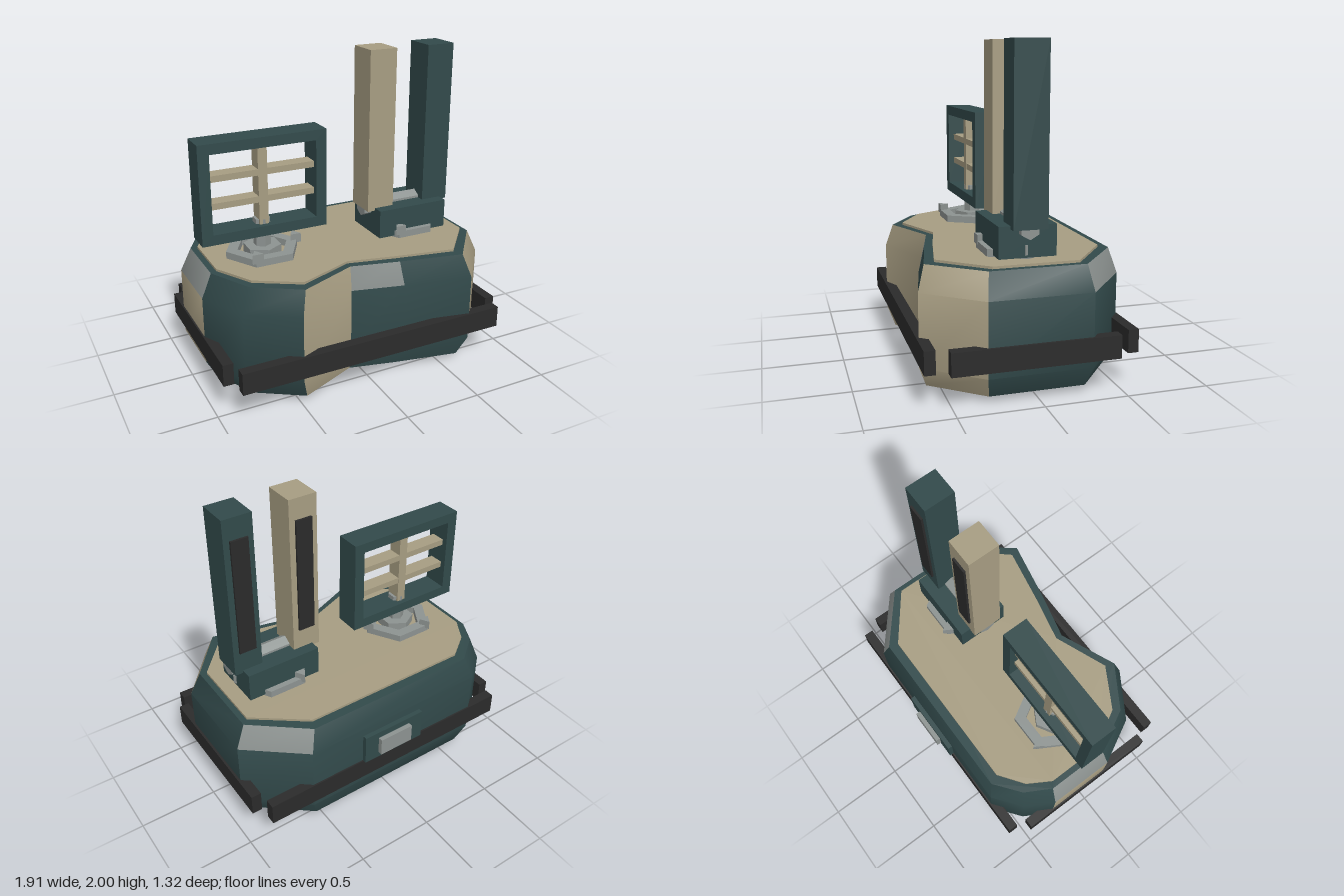
import * as THREE from 'three';
import { toCreasedNormals } from 'three/addons/utils/BufferGeometryUtils.js';

const mat = (name, color) => {
  const m = new THREE.MeshStandardMaterial({ color });
  m.name = name;
  return m;
};

export function createModel() {
  const teal = mat('dark teal', 0x324a4b);
  const beige = mat('beige', 0xa79d82);
  const grey = mat('grey metal', 0x8d9391);
  const dark = mat('charcoal', 0x2b2b2b);

  const model = new THREE.Group();
  model.name = 'model';
  const ZC = 0.02; // shared depth centre of the top equipment

  const add = (name, geo, material, parent = model) => {
    const m = new THREE.Mesh(geo, material);
    m.name = name;
    parent.add(m);
    return m;
  };
  // Box given by its extents on each axis
  const box = (name, material, [x0, x1], [y0, y1], [z0, z1]) => {
    const g = new THREE.BoxGeometry(x1 - x0, y1 - y0, z1 - z0);
    g.translate((x0 + x1) / 2, (y0 + y1) / 2, (z0 + z1) / 2);
    return add(name, g, material);
  };

  // Plan outline of the body (x, z), front edge first, turning towards +x
  const outline = [[-0.5, 0.64], [-0.1, 0.47], [0.23, 0.55], [0.67, 0.64], [0.94, 0.31], [0.94, -0.31],
    [0.59, -0.6], [-0.67, -0.6], [-0.85, -0.46], [-0.95, -0.28], [-0.95, 0.16], [-0.8, 0.45]];
  // Vertical profile: height and scale of the outline
  const profile = [[0.04, 0.925], [0.17, 1], [0.61, 1], [0.76, 0.93]];
  const beigeSides = [0, 3, 9];
  const greyTops = [1, 5, 9];

  // Faceted hull with coloured segments
  const hullMats = [teal, beige, grey];
  const pos = [];
  const hull = new THREE.BufferGeometry();
  outline.forEach((a, i) => {
    const b = outline[(i + 1) % outline.length];
    for (let k = 0; k < profile.length - 1; k++) {
      const at = (p, [y, s]) => [p[0] * s, y, p[1] * s];
      const a0 = at(a, profile[k]), b0 = at(b, profile[k]);
      const a1 = at(a, profile[k + 1]), b1 = at(b, profile[k + 1]);
      const m = k === 2 && greyTops.includes(i) ? 2 : beigeSides.includes(i) ? 1 : 0;
      hull.addGroup(pos.length / 3, 6, m);
      pos.push(...a0, ...b0, ...b1, ...a0, ...b1, ...a1);
    }
  });
  hull.setAttribute('position', new THREE.Float32BufferAttribute(pos, 3));
  add('hull', toCreasedNormals(hull, 0.75), hullMats);

  // Flat slabs that follow the outline
  const slab = (name, material, sx, sz, y0, y1) => {
    const shape = new THREE.Shape(outline.map(([x, z]) => new THREE.Vector2(x * sx, -z * sz)));
    const g = new THREE.ExtrudeGeometry(shape, { depth: y1 - y0, bevelEnabled: false });
    g.rotateX(-Math.PI / 2).translate(0, y0, 0);
    add(name, g, material);
  };
  slab('hullCore', teal, 0.924, 0.924, 0.04, 0.75);
  slab('hullTop', teal, 0.93, 0.93, 0.75, 0.76);
  slab('topDeck', beige, 0.89, 0.83, 0.76, 0.775);
  slab('bottomPlate', dark, 0.74, 0.71, 0.022, 0.04);

  // Bumper bars
  const bumperY = [0.21, 0.35];
  box('frontBumper', dark, [-0.89, 0.89], bumperY, [0.59, 0.655]);
  box('backBumper', dark, [-0.89, 0.89], bumperY, [-0.61, -0.545]);
  box('leftBumper', dark, [0.89, 0.955], bumperY, [-0.475, 0.52]);
  box('rightBumper', dark, [-0.96, -0.895], bumperY, [-0.475, 0.52]);

  // Back hatch
  box('backHatch', teal, [-0.225, 0.22], [0.35, 0.555], [-0.63, -0.58]);
  box('backHatchPlate', grey, [-0.12, 0.12], [0.39, 0.51], [-0.66, -0.63]);

  // Hexagonal ring lying flat, corners on the x axis
  const hexPath = (r, P) => new P(Array.from({ length: 6 }, (_, i) =>
    new THREE.Vector2(r * Math.cos(i * Math.PI / 3), r * Math.sin(i * Math.PI / 3))));
  const hexRing = (name, r, inner, x, z, y0, y1) => {
    const s = hexPath(r, THREE.Shape);
    s.holes.push(hexPath(inner, THREE.Path));
    const g = new THREE.ExtrudeGeometry(s, { depth: y1 - y0, bevelEnabled: false });
    g.rotateX(-Math.PI / 2).translate(x, y0, z);
    add(name, g, grey);
  };
  for (const [x, z] of [[-0.465, 0.2], [0, -0.28], [0.465, 0.2]])
    hexRing('foot', 0.175, 0.105, x, z, 0, 0.03);

  // Turntable mounts with three triangular lugs
  for (const x of [-0.5, 0.5]) {
    hexRing('mountRing', 0.24, 0.165, x, ZC, 0.77, 0.82);
    for (let i = 0; i < 3; i++) {
      const a = i * Math.PI * 2 / 3;
      const g = new THREE.CylinderGeometry(0.042, 0.042, 0.06, 3).toNonIndexed();
      g.rotateY(Math.PI);
      g.translate(x + 0.22 * Math.cos(a), 0.83, ZC + 0.22 * Math.sin(a));
      g.computeVertexNormals();
      add('mountLug', g, grey);
    }
  }
  const prism = (name, r, h, x, y) => {
    const g = new THREE.CylinderGeometry(r, r, h, 6).toNonIndexed();
    g.translate(x, y, ZC).computeVertexNormals();
    add(name, g, grey);
  };
  prism('postBase', 0.12, 0.06, -0.5, 0.8);
  prism('post', 0.055, 0.24, -0.5, 0.89);

  // Framed grid panel
  const frameShape = new THREE.Shape([[-0.91, 0.915], [-0.09, 0.915], [-0.09, 1.545], [-0.91, 1.545]]
    .map(p => new THREE.Vector2(...p)));
  frameShape.holes.push(new THREE.Path([[-0.84, 0.98], [-0.16, 0.98], [-0.16, 1.48], [-0.84, 1.48]]
    .map(p => new THREE.Vector2(...p))));
  const frame = new THREE.ExtrudeGeometry(frameShape, { depth: 0.17, bevelEnabled: false });
  frame.translate(0, 0, ZC - 0.085);
  add('panelFrame', frame, teal);
  box('panelUpright', beige, [-0.53, -0.47], [0.98, 1.48], [ZC - 0.05, ZC + 0.05]);
  for (const y of [1.145, 1.318])
    box('panelSlat', beige, [-0.84, -0.16], [y - 0.02, y + 0.02], [ZC - 0.048, ZC + 0.048]);

  // Tower block with a hexagonal pivot
  box('towerBlock', teal, [0.25, 0.745], [0.785, 0.972], [-0.15, 0.195]);
  const pivot = new THREE.CylinderGeometry(0.06, 0.06, 0.595, 6).toNonIndexed();
  pivot.rotateZ(Math.PI / 2).rotateX(Math.PI / 2).translate(0.4975, 0.957, ZC + 0.005);
  pivot.computeVertexNormals();
  add('towerPivot', pivot, grey);

  // Twin towers with back plates
  for (const [x0, x1, m] of [[0.198, 0.383, beige], [0.61, 0.797, teal]]) {
    box('tower', m, [x0, x1], [0.955, 2], [-0.08, 0.125]);
    box('towerBackPlate', dark, [x0 + 0.038, x1 - 0.038], [1.11, 1.865], [-0.094, -0.08]);
  }
  return model;
}
